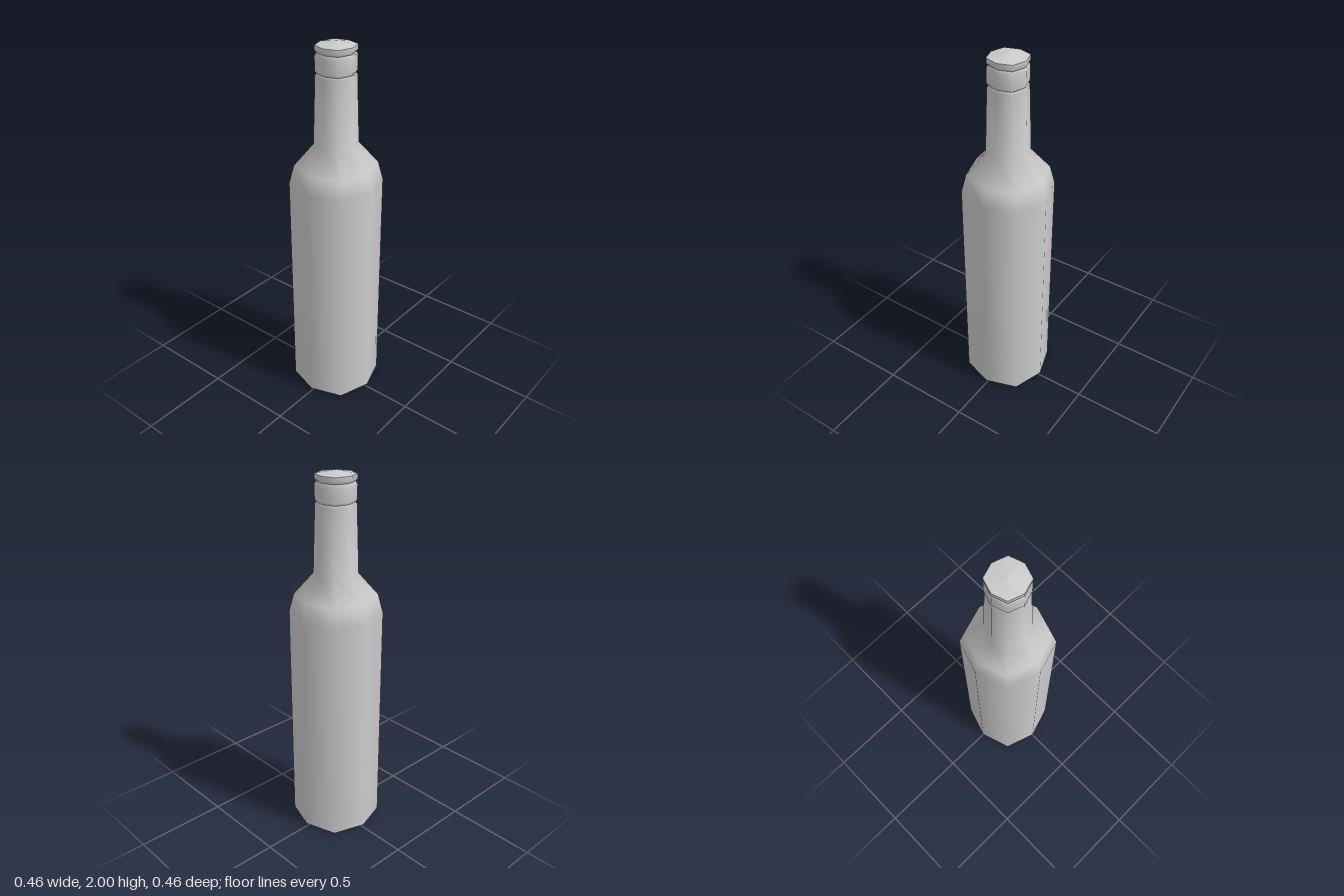
import * as THREE from 'three';

const material = new THREE.MeshStandardMaterial({ color: 0xcccccc, side: THREE.DoubleSide });

// Eight-sided turned part; the diagonal corners sit slightly further out
function turned(name, profile) {
  const geometry = new THREE.LatheGeometry(profile.map(([r, y]) => new THREE.Vector2(r, y)), 8);
  const p = geometry.attributes.position;
  for (let i = 0; i < p.count; i++) {
    const x = p.getX(i), z = p.getZ(i);
    const k = Math.min(Math.abs(x), Math.abs(z)) > 0.01 ? 1.065 : 1;
    p.setXYZ(i, x * k, p.getY(i), z * k);
  }
  const mesh = new THREE.Mesh(geometry, material);
  mesh.name = name;
  return mesh;
}

export function createModel() {
  const group = new THREE.Group();
  group.name = 'bottle';
  group.add(
    // Underside and its small bevel
    turned('base', [[0, 0], [0.195, 0]]),
    turned('baseBevel', [[0.195, 0], [0.23, 0.017]]),
    // Straight body, shoulder and tapering neck
    turned('body', [[0.23, 0.017], [0.23, 1.265], [0.205, 1.365], [0.109, 1.48], [0.098, 1.835], [0.091, 1.845]]),
    // Collar between two grooves
    turned('collar', [[0.091, 1.845], [0.099, 1.858], [0.099, 1.932], [0.091, 1.947]]),
    // Cap with a shallow pointed top
    turned('capRim', [[0.091, 1.947], [0.099, 1.957], [0.099, 1.982]]),
    turned('capTop', [[0.099, 1.982], [0, 2]])
  );
  return group;
}
